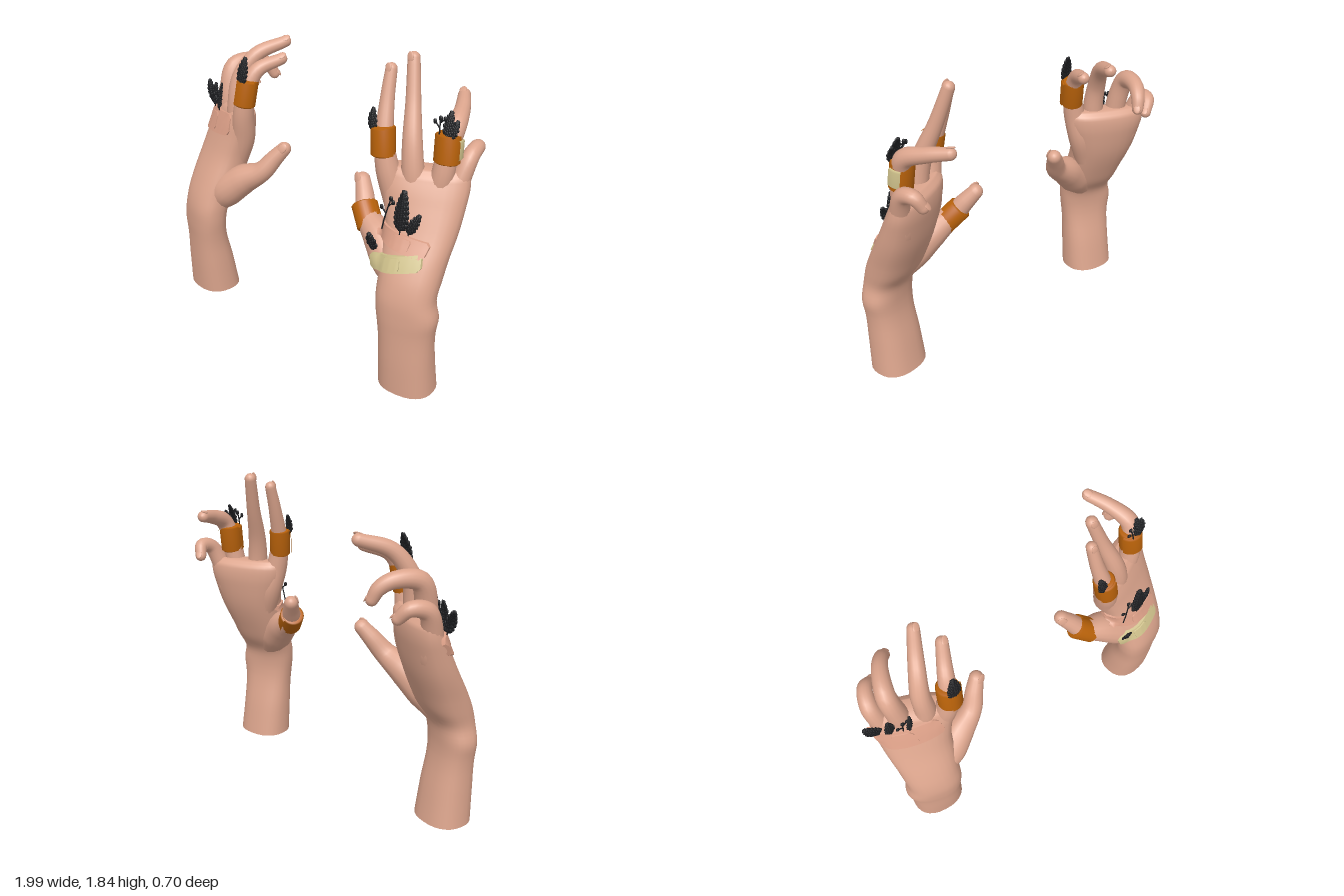
import * as THREE from 'three';
import { mergeGeometries } from 'three/addons/utils/BufferGeometryUtils.js';

const V = (x, y, z) => new THREE.Vector3(x, y, z);
const mat = (name, color) => Object.assign(new THREE.MeshStandardMaterial({ color }), { name });

// Skin between rings of points that turn counter-clockwise round the path
function loft(rings) {
  const n = rings[0].length, pos = [], idx = [];
  rings.forEach(r => r.forEach(p => pos.push(p.x, p.y, p.z)));
  for (let i = 0; i < rings.length - 1; i++) for (let j = 0; j < n; j++) {
    const a = i * n + j, b = i * n + (j + 1) % n;
    idx.push(a, b, a + n, b, b + n, a + n);
  }
  const g = new THREE.BufferGeometry();
  g.setAttribute('position', new THREE.Float32BufferAttribute(pos, 3));
  g.setIndex(idx);
  g.computeVertexNormals();
  return g;
}

// Smooth rows of numbers: first three are a position, the rest are sizes
function smoothRows(rows, per) {
  const P = new THREE.CatmullRomCurve3(rows.map(r => V(r[0], r[1], r[2])));
  const Q = new THREE.CatmullRomCurve3(rows.map(r => V(r[3], r[4] ?? 0, r[5] ?? 0)));
  const n = (rows.length - 1) * per;
  return Array.from({ length: n + 1 }, (_, i) => ({ p: P.getPoint(i / n), q: Q.getPoint(i / n), t: P.getTangent(i / n) }));
}

// Tapered, round-ended finger along [x, y, z, radius] rows; also returns the tip frame
function finger(rows) {
  const N = V(0, 0, 1), B = V(), rings = [];
  const ring = (c, r) => rings.push(Array.from({ length: 16 }, (_, j) => {
    const a = j / 16 * Math.PI * 2;
    return c.clone().addScaledVector(N, r * Math.cos(a)).addScaledVector(B, r * Math.sin(a));
  }));
  const s = smoothRows(rows, 6);
  for (const { p, q, t } of s) {
    N.addScaledVector(t, -N.dot(t)).normalize();
    B.crossVectors(t, N);
    ring(p, q.x);
  }
  const { p, q, t } = s[s.length - 1];
  for (let k = 1; k <= 5; k++) {
    const a = k / 5 * Math.PI / 2;
    ring(p.clone().addScaledVector(t, q.x * Math.sin(a)), q.x * Math.cos(a) + 1e-4);
  }
  return { geometry: loft(rings), p, t, N, B, r: q.x };
}

// Wrist and palm sections: x, y, z, half width, half depth, turn
const palmRows = [
  [.815, 0, .19, .166, .138, .15], [.815, .2, .212, .16, .126, .22], [.82, .4, .233, .162, .108, .3],
  [.822, .5, .236, .174, .108, .3], [.805, .6, .23, .166, .114, .28], [.795, .7, .185, .172, .135, .28],
  [.785, .8, .14, .182, .137, .3], [.773, .95, .07, .2, .128, .36], [.753, 1.08, .03, .222, .114, .42],
  [.738, 1.17, .01, .238, .1, .45], [.732, 1.23, 0, .236, .082, .45], [.732, 1.265, 0, .212, .045, .45]];
const thumbRows = [[.75, .64, .2, .08], [.655, .74, .18, .106], [.55, .83, .145, .094], [.43, .905, .108, .064],
  [.365, 1.0, .055, .052], [.322, 1.06, .02, .043]];

const fingersLeft = {
  index: [[.66, .9, .09, .06], [.6, 1.08, .085, .072], [.56, 1.24, .112, .064], [.533, 1.39, .112, .052], [.5, 1.6, .055, .039], [.486, 1.75, .01, .032]],
  middle: [[.72, .9, .07, .06], [.7, 1.08, .045, .07], [.685, 1.24, .055, .062], [.658, 1.4, .035, .054], [.605, 1.6, -.03, .041], [.557, 1.8, -.085, .034]],
  ring: [[.78, .9, .05, .06], [.8, 1.08, .0, .066], [.83, 1.25, -.01, .062], [.84, 1.4, -.035, .055], [.847, 1.5, -.08, .052], [.8, 1.55, -.2, .042], [.735, 1.578, -.312, .034]],
  little: [[.83, .9, .03, .06], [.865, 1.06, -.04, .068], [.895, 1.22, -.08, .056], [.912, 1.335, -.14, .046], [.9, 1.355, -.22, .04], [.87, 1.3, -.25, .033]]
};
const fingersRight = {
  index: [[-.63, .9, .09, .06], [-.575, 1.08, .085, .072], [-.54, 1.25, .108, .064], [-.515, 1.39, .102, .053], [-.48, 1.52, .04, .045], [-.405, 1.575, -.09, .035]],
  middle: [[-.7, .9, .07, .06], [-.67, 1.08, .045, .07], [-.65, 1.25, .055, .062], [-.642, 1.43, .025, .054], [-.585, 1.57, -.06, .046], [-.49, 1.635, -.215, .035]],
  ring: [[-.76, .9, .05, .06], [-.78, 1.08, .0, .066], [-.788, 1.28, -.01, .062], [-.792, 1.45, -.07, .056], [-.735, 1.47, -.2, .046], [-.69, 1.43, -.265, .04], [-.665, 1.37, -.29, .033]],
  little: [[-.81, .9, .03, .06], [-.85, 1.06, -.04, .068], [-.88, 1.22, -.07, .058], [-.887, 1.325, -.12, .05], [-.85, 1.345, -.205, .042], [-.8, 1.29, -.24, .033]]
};

export function createModel() {
  const skin = mat('skin', 0xdca58d), plaster = mat('plaster', 0xdb9f87), cream = mat('cream', 0xd0c28c),
    orange = mat('orange wrap', 0xb9620a), black = mat('black sprig', 0x1c1d20);
  skin.side = THREE.DoubleSide;
  const model = new THREE.Group();
  const add = (parent, name, geometry, material) => {
    const m = new THREE.Mesh(geometry, material);
    m.name = name;
    parent.add(m);
    return m;
  };

  function makeHand(name, s, dx, fingers) {
    const hand = new THREE.Group();
    hand.name = name;
    model.add(hand);
    const section = (p, a, b, turn) => Array.from({ length: 28 }, (_, j) => {
      const t = j / 28 * Math.PI * 2, pw = v => Math.sign(v) * Math.abs(v) ** .85;
      const u = a * pw(Math.cos(t)), w = -b * pw(Math.sin(t));
      return V(p.x + u * Math.cos(turn) + w * Math.sin(turn), p.y, p.z - u * Math.sin(turn) + w * Math.cos(turn));
    });
    // Palm and wrist, closed at the knuckles and open at the cut end
    const rows = palmRows.map(([x, y, z, a, b, t]) => [s * x + dx, y, z, a, b, s * t]);
    const rings = smoothRows(rows, 4).map(({ p, q }) => section(p, q.x, q.y, q.z));
    const top = rings[rings.length - 1], mid = top.reduce((c, p) => c.addScaledVector(p, 1 / 28), V());
    rings.push(top.map(() => mid));
    add(hand, 'palmAndWrist', loft(rings), skin);

    // Fingers with nails
    const all = { thumb: thumbRows.map(([x, y, z, r]) => [s * x + dx * 1.5, y, z, r]), ...fingers };
    for (const [key, path] of Object.entries(all)) {
      const f = finger(path);
      add(hand, key + 'Finger', f.geometry, skin);
      const nail = new THREE.SphereGeometry(f.r, 12, 8).scale(.62, .85, .18);
      const c = f.p.clone().addScaledVector(f.N, f.r * .88).addScaledVector(f.t, f.r * .1);
      nail.applyMatrix4(new THREE.Matrix4().makeBasis(f.B, f.t, f.N).setPosition(c));
      add(hand, key + 'Nail', nail, skin);
    }
    return hand;
  }

  // Plaster strip bent over the back of a hand, with a raised centre pad
  function strip(hand, name, x, y, len, h, angle, material, padX = 0) {
    const targets = hand.children.filter(m => /palm|Finger/.test(m.name)), ray = new THREE.Raycaster();
    const depth = (px, py) => {
      for (let k = 1; k < 20; k++) {
        const qx = px + (x - px) * k / 20;
        ray.set(V(qx, py, 3), V(0, 0, -1));
        const hit = ray.intersectObjects(targets, false)[0];
        if (hit) return hit.point.z - Math.abs(qx - px) * .5;
      }
      return 0;
    };
    const plate = (w, hh, thick, ox) => {
      const g = new THREE.BoxGeometry(w, hh, thick, 18, 5, 1), p = g.attributes.position, r = hh * .25;
      for (let i = 0; i < p.count; i++) {
        const u = p.getX(i), e = Math.max(0, Math.abs(u) - (w / 2 - r)) / r;
        const v = p.getY(i) * (1 - .4 * (1 - Math.sqrt(Math.max(0, 1 - e * e)))), uu = u + ox;
        const px = x + uu * Math.cos(angle) - v * Math.sin(angle), py = y + uu * Math.sin(angle) + v * Math.cos(angle);
        p.setXYZ(i, px, py, depth(px, py) + p.getZ(i));
      }
      g.computeVertexNormals();
      return g;
    };
    add(hand, name, plate(len, h, .03, 0), material);
    add(hand, name + 'Pad', plate(len * .33, h * .75, .042, padX), material);
  }

  // Wrap round a finger: bevelled sleeve with an overlapping flap
  function wrap(hand, name, c, axis, r, len, flapAt, patch) {
    const g = new THREE.Group();
    g.name = name;
    g.position.copy(c);
    g.quaternion.setFromUnitVectors(V(0, 1, 0), axis.normalize());
    hand.add(g);
    const sleeve = (R, hgt, start, sweep) => new THREE.LatheGeometry([[R - .03, -hgt / 2], [R - .008, -hgt / 2], [R, -hgt / 2 + .008],
      [R, hgt / 2 - .008], [R - .008, hgt / 2], [R - .03, hgt / 2]].map(q => new THREE.Vector2(...q)), 28, start, sweep);
    add(g, 'sleeve', sleeve(r, len, 0, Math.PI * 2), orange);
    add(g, 'flap', sleeve(r + .009, len * .94, flapAt, 1.7), orange);
    if (patch) add(g, 'patch', sleeve(r + .012, len * .64, patch, 1), cream);
  }

  // Sprig: bent stem with a flat, leaf-shaped spray of buds, or a few berries on side twigs
  function sprig(hand, base, tip, size, berries) {
    const a = V(...base), b = V(...tip), len = a.distanceTo(b);
    const curve = new THREE.QuadraticBezierCurve3(a, a.clone().lerp(b, .5).add(V(0, .01, .008)), b);
    const parts = [new THREE.TubeGeometry(curve, 8, .004, 5)];
    const bud = (p, r) => parts.push(new THREE.SphereGeometry(r, 6, 5).scale(1, 1.2, .7).translate(p.x, p.y, p.z));
    if (berries) {
      bud(b, .013);
      [.5, .75].forEach((t, i) => {
        const p = curve.getPoint(t), e = p.clone().add(V(i ? .03 : -.03, .03, 0));
        parts.push(new THREE.TubeGeometry(new THREE.LineCurve3(p, e), 1, .004, 5));
        bud(e, .012);
      });
    } else {
      const rows = Math.ceil(len / .016);
      for (let i = 0; i <= rows; i++) for (const k of [-1, -.5, 0, .5, 1]) {
        const t = .15 + .85 * i / rows, w = size * Math.sin(Math.PI * (.2 + .75 * t)) * (i % 2 ? 1 : .75);
        bud(curve.getPoint(t).add(V(k * w, Math.abs(k) * .008, .004 - Math.abs(k) * .006)), size * .3 + .002);
      }
    }
    add(hand, berries ? 'berrySprig' : 'flowerSprig', mergeGeometries(parts), black);
  }

  const left = makeHand('leftHand', 1, 0, fingersLeft);
  strip(left, 'creamPlaster', .742, .8, .31, .085, .25, cream);
  strip(left, 'pinkPlaster', .735, .912, .33, .082, -.13, plaster, .02);
  wrap(left, 'indexWrap', V(.532, 1.39, .114), V(-.12, 1, -.1), .062, .165, -1);
  wrap(left, 'ringWrap', V(.838, 1.39, -.035), V(-.06, 1, -.12), .066, .165, -1.3, 1.4);
  wrap(left, 'thumbWrap', V(.427, .905, .11), V(-.7, .75, -.4), .07, .15, 1.5);
  sprig(left, [.74, .95, .225], [.742, 1.18, .2], .036);
  sprig(left, [.78, .95, .205], [.835, 1.07, .19], .026);
  sprig(left, [.63, .95, .235], [.665, 1.13, .21], .02, true);
  sprig(left, [.62, .84, .29], [.605, .93, .31], .028);
  sprig(left, [.485, 1.44, .155], [.47, 1.55, .13], .024);
  sprig(left, [.85, 1.45, .01], [.845, 1.58, -.03], .026);
  sprig(left, [.87, 1.45, 0], [.885, 1.54, -.03], .022);
  sprig(left, [.81, 1.45, .015], [.795, 1.55, -.01], .02, true);

  const right = makeHand('rightHand', -1, .02, fingersRight);
  strip(right, 'pinkPlaster', -.785, 1.14, .34, .125, .15, plaster, -.04);
  wrap(right, 'indexWrap', V(-.516, 1.39, .102), V(.1, 1, -.15), .065, .17, -.3);
  sprig(right, [-.505, 1.44, .155], [-.49, 1.6, .125], .032);
  sprig(right, [-.92, 1.18, 0], [-.98, 1.31, -.02], .03);
  sprig(right, [-.87, 1.19, .04], [-.865, 1.33, .03], .024);
  sprig(right, [-.81, 1.2, .07], [-.8, 1.31, .07], .02, true);
  sprig(right, [-.78, 1.2, .09], [-.755, 1.37, .08], .015);
  return model;
}
